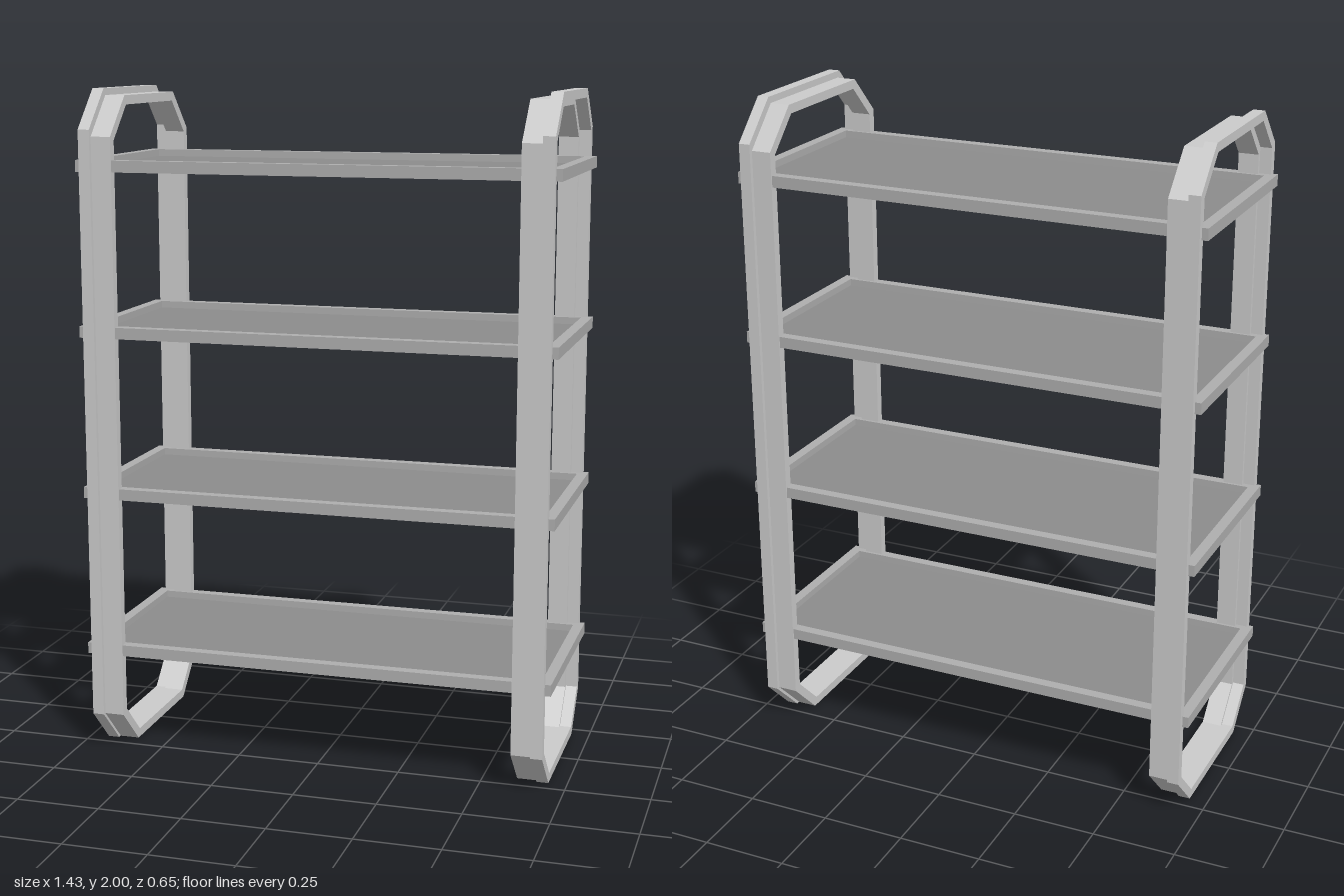
import * as THREE from 'three';

const frameGrey = new THREE.MeshStandardMaterial({ color: 0xcccccc, flatShading: true });
const trayGrey = new THREE.MeshStandardMaterial({ color: 0xaeaeae, flatShading: true });
const panelGrey = new THREE.MeshStandardMaterial({ color: 0x8c8c8c, flatShading: true });

function part(geometry, material, name) {
  const mesh = new THREE.Mesh(geometry, material);
  mesh.name = name;
  return mesh;
}

// corner points of a rectangle with its corners cut at 45 degrees
function octagon(w, bottom, top, cut) {
  return [
    [w - cut, bottom], [w, bottom + cut], [w, top - cut], [w - cut, top],
    [cut - w, top], [-w, top - cut], [-w, bottom + cut], [cut - w, bottom],
  ].map(([x, y]) => new THREE.Vector2(x, y));
}

// closed cut-corner band of thickness t, standing in the yz plane from x0 to x1
function band(w, top, t, x0, x1) {
  const cut = 0.115;
  const shape = new THREE.Shape(octagon(w, 0, top, cut));
  shape.holes.push(new THREE.Path(octagon(w - t, t, top - t, cut - t * 0.586).reverse()));
  const geometry = new THREE.ExtrudeGeometry(shape, { depth: x1 - x0, bevelEnabled: false });
  return geometry.rotateY(Math.PI / 2).translate(x0, 0, 0);
}

// rectangular rim lying flat
function rim(w, d, t, height) {
  const rect = (a, b) => [[-a, -b], [a, -b], [a, b], [-a, b]].map(([x, y]) => new THREE.Vector2(x, y));
  const shape = new THREE.Shape(rect(w, d));
  shape.holes.push(new THREE.Path(rect(w - t, d - t).reverse()));
  const geometry = new THREE.ExtrudeGeometry(shape, { depth: height, bevelEnabled: false });
  return geometry.rotateX(-Math.PI / 2);
}

export function createModel() {
  const model = new THREE.Group();
  model.name = 'shelfRack';

  // end frames: a taller outer band beside a wider inner band, level at the floor
  for (const side of [-1, 1]) {
    const frame = new THREE.Group();
    frame.name = side > 0 ? 'leftFrame' : 'rightFrame';
    const span = (a, b) => (side > 0 ? [a, b] : [-b, -a]);
    frame.add(
      part(band(0.324, 2, 0.027, ...span(0.66, 0.695)), frameGrey, 'outerBand'),
      part(band(0.312, 1.98, 0.027, ...span(0.6, 0.66)), frameGrey, 'innerBand'),
    );
    model.add(frame);
  }

  // tray shelves: base and raised rim, with a darker panel laid inside
  const W = 0.713, D = 0.308, RIM = 0.032, H = 0.034, BASE = 0.007, PANEL = 0.006;
  const slab = (height, y) =>
    new THREE.BoxGeometry(2 * (W - RIM), height, 2 * (D - RIM)).translate(0, y + height / 2, 0);
  for (let i = 0; i < 4; i++) {
    const shelf = new THREE.Group();
    shelf.name = `shelf${i + 1}`;
    shelf.position.y = 0.302 + i * 0.487;
    shelf.add(
      part(rim(W, D, RIM, H), trayGrey, 'shelfRim'),
      part(slab(BASE, 0), trayGrey, 'shelfBase'),
      part(slab(PANEL, BASE), panelGrey, 'shelfPanel'),
    );
    model.add(shelf);
  }
  return model;
}
